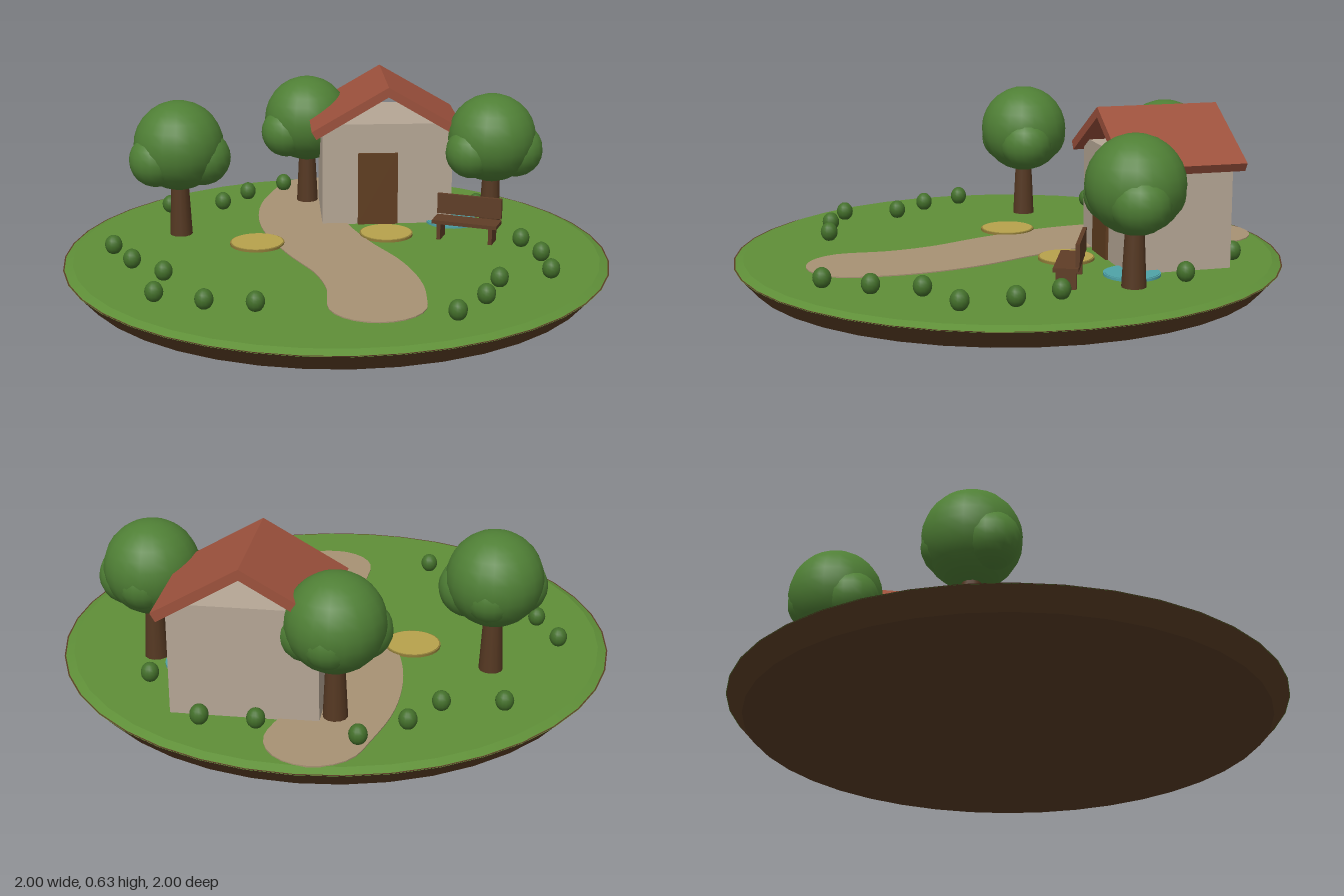
import * as THREE from 'three';

const GROUND = 0.08;
const mat = (color) => new THREE.MeshStandardMaterial({ color });
const M = {
  soil: mat(0x5a3d25), grass: mat(0x5f8f38), path: mat(0xa89274), leaf: mat(0x4f7f35),
  bush: mat(0x436f2a), bark: mat(0x553822), wall: mat(0xb5a695), roof: mat(0x9c513c),
  door: mat(0x5f3d20), wood: mat(0x5f3d26), straw: mat(0xb8a24c), rim: mat(0x8f7c38), water: mat(0x4fa3a8),
};

function add(parent, name, geometry, material, x = 0, y = 0, z = 0) {
  const mesh = new THREE.Mesh(geometry, material);
  mesh.name = name;
  mesh.position.set(x, y, z);
  parent.add(mesh);
  return mesh;
}

function group(parent, name, x = 0, y = 0, z = 0) {
  const g = new THREE.Group();
  g.name = name;
  g.position.set(x, y, z);
  parent.add(g);
  return g;
}

// Winding path: a curve offset to both sides, closed by round ends
function pathGeometry(halfWidth) {
  const curve = new THREE.CatmullRomCurve3([
    [-0.04, -0.8], [-0.11, -0.55], [-0.11, -0.3], [-0.03, -0.02], [0.07, 0.22], [0.11, 0.42], [0.105, 0.59],
  ].map(([x, z]) => new THREE.Vector3(x, -z, 0)));
  const left = [], right = [];
  const n = 36;
  for (let i = 0; i <= n; i++) {
    const p = curve.getPoint(i / n), t = curve.getTangent(i / n);
    left.push(new THREE.Vector2(p.x - t.y * halfWidth, p.y + t.x * halfWidth));
    right.push(new THREE.Vector2(p.x + t.y * halfWidth, p.y - t.x * halfWidth));
  }
  const cap = (u) => {
    const p = curve.getPoint(u), t = curve.getTangent(u);
    const start = Math.atan2(t.y, t.x) + (u ? Math.PI / 2 : -Math.PI / 2);
    return Array.from({ length: 11 }, (_, i) => {
      const a = start - ((i + 1) / 12) * Math.PI;
      return new THREE.Vector2(p.x + Math.cos(a) * halfWidth, p.y + Math.sin(a) * halfWidth);
    });
  };
  const shape = new THREE.Shape([...left, ...cap(1), ...right.reverse(), ...cap(0)]);
  const g = new THREE.ExtrudeGeometry(shape, { depth: 0.008, bevelEnabled: false });
  return g.rotateX(-Math.PI / 2);
}

function addTree(parent, x, z) {
  const tree = group(parent, 'tree', x, GROUND, z);
  add(tree, 'trunk', new THREE.CylinderGeometry(0.03, 0.043, 0.26, 12), M.bark, 0, 0.13, 0);
  add(tree, 'crown', new THREE.SphereGeometry(0.17, 20, 14), M.leaf, 0, 0.35, 0);
  const lobes = [[-0.085, 0.305, 0.05, 0.1], [0.09, 0.305, 0.015, 0.105], [0.01, 0.32, -0.07, 0.1]];
  for (const [lx, ly, lz, r] of lobes) {
    add(tree, 'crownLobe', new THREE.SphereGeometry(r, 18, 12), M.leaf, lx, ly, lz);
  }
}

function addHouse(parent) {
  const house = group(parent, 'house', 0.215, GROUND, -0.495);
  add(house, 'walls', new THREE.BoxGeometry(0.505, 0.4, 0.38), M.wall, 0, 0.2, 0);
  add(house, 'door', new THREE.BoxGeometry(0.155, 0.285, 0.02), M.door, -0.037, 0.143, 0.19);
  // Two sloping slabs meeting at the ridge, open at the gables
  const slab = new THREE.Shape();
  slab.moveTo(0, 0.55);
  slab.lineTo(0, 0.512);
  slab.lineTo(0.277, 0.349);
  slab.lineTo(0.295, 0.379);
  slab.closePath();
  for (const side of [0, Math.PI]) {
    const g = new THREE.ExtrudeGeometry(slab, { depth: 0.45, bevelEnabled: false });
    g.translate(0, 0, -0.225).rotateY(side);
    add(house, 'roofSlab', g, M.roof);
  }
}

function addBench(parent) {
  const bench = group(parent, 'bench', 0.497, GROUND, -0.085);
  bench.rotation.y = -0.4;
  add(bench, 'benchSeat', new THREE.BoxGeometry(0.25, 0.014, 0.085), M.wood, 0, 0.07, 0);
  add(bench, 'benchBack', new THREE.BoxGeometry(0.25, 0.078, 0.014), M.wood, 0, 0.122, -0.04);
  for (const x of [-0.1, 0.1]) {
    add(bench, 'benchLeg', new THREE.BoxGeometry(0.015, 0.066, 0.07), M.wood, x, 0.032, 0);
  }
}

// Low round disc with a slightly darker edge
function addDisc(parent, name, x, z, r, top, edge) {
  const disc = group(parent, name, x, GROUND, z);
  add(disc, name + 'Edge', new THREE.CylinderGeometry(r, r, 0.009, 28), edge, 0, 0.0045, 0);
  add(disc, name + 'Top', new THREE.CylinderGeometry(r * 0.95, r * 0.95, 0.004, 28), top, 0, 0.009, 0);
}

export function createModel() {
  const model = new THREE.Group();
  model.name = 'garden';

  // Round island of soil with a bevelled lawn
  add(model, 'soil', new THREE.CylinderGeometry(1, 0.94, 0.068, 40), M.soil, 0, 0.034, 0);
  add(model, 'lawn', new THREE.CylinderGeometry(0.965, 1, 0.014, 40), M.grass, 0, 0.073, 0);
  add(model, 'path', pathGeometry(0.168), M.path, 0, GROUND - 0.004, 0);

  addHouse(model);
  addBench(model);
  for (const [x, z] of [[-0.583, -0.22], [-0.085, -0.64], [0.615, -0.275]]) addTree(model, x, z);

  addDisc(model, 'flowerBed', -0.293, -0.075, 0.102, M.straw, M.rim);
  addDisc(model, 'flowerBed', 0.2, -0.165, 0.102, M.straw, M.rim);
  addDisc(model, 'pond', 0.47, -0.32, 0.1, M.water, M.water);

  // Small bushes around the edge
  const bushes = [
    [-0.18, -0.8], [-0.33, -0.68], [-0.43, -0.54], [-0.64, -0.51], [-0.82, 0], [-0.74, 0.165], [-0.62, 0.3],
    [-0.64, 0.51], [-0.47, 0.59], [-0.3, 0.62], [0.165, -0.74], [0.355, -0.74], [0.59, -0.47], [0.69, 0],
    [0.735, 0.165], [0.735, 0.35], [0.54, 0.43], [0.47, 0.59], [0.355, 0.735],
  ];
  const bushGeometry = new THREE.SphereGeometry(0.032, 14, 10).scale(1, 1.13, 1);
  for (const [x, z] of bushes) add(model, 'bush', bushGeometry, M.bush, x, 0.112, z);

  return model;
}
